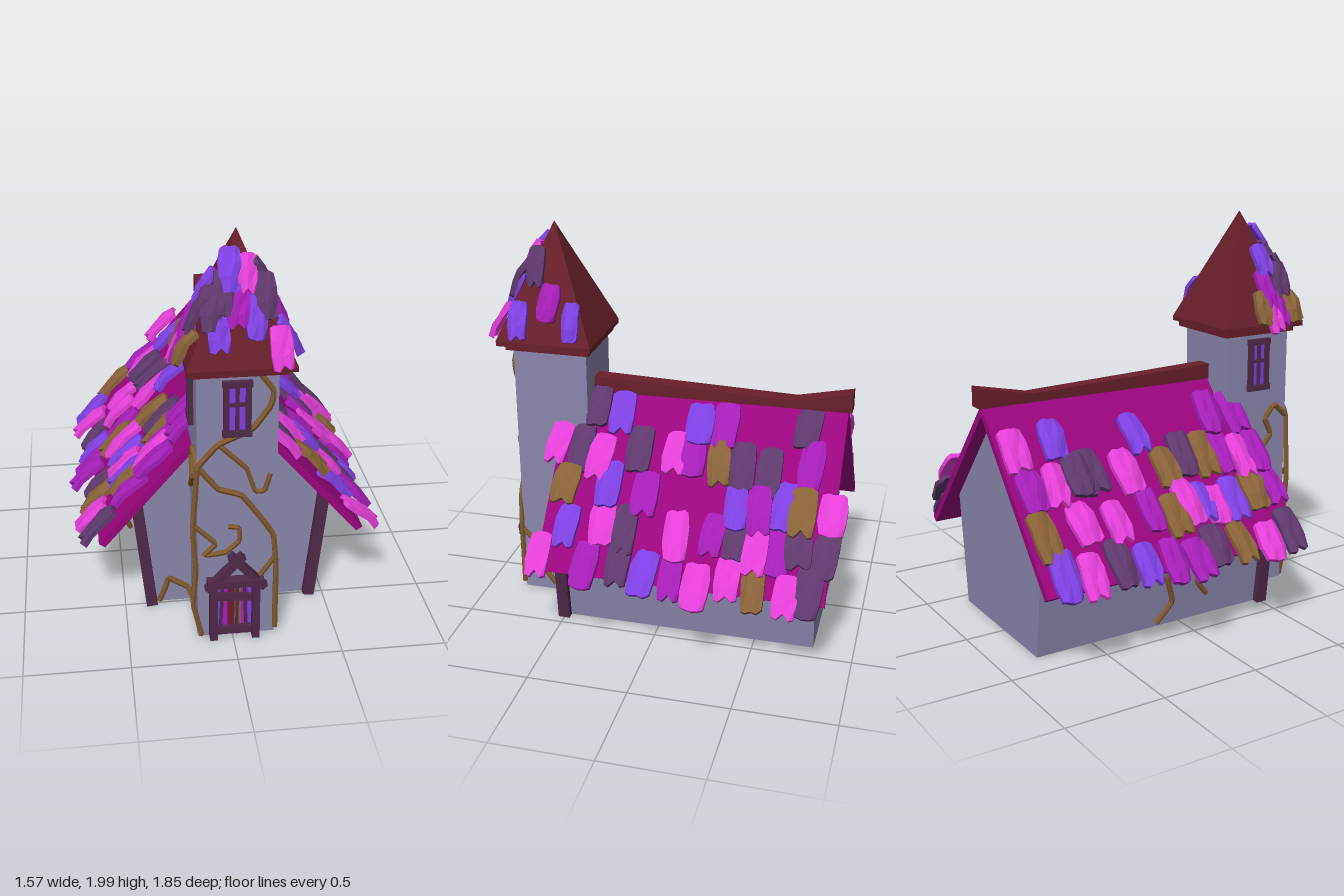
import * as THREE from 'three';

const paint = (name, color) => {
  const m = new THREE.MeshStandardMaterial({ color, flatShading: true });
  m.name = name;
  return m;
};

export function createModel() {
  const M = {
    wall: paint('stone wall', 0x8a87ab),
    roof: paint('magenta roof', 0x9a067e),
    red: paint('red wood', 0x681f2b),
    trim: paint('dark trim', 0x4f2a49),
    vine: paint('vine brown', 0x7f5a2e),
    V: paint('violet tile', 0x7e40e2),
    K: paint('pink tile', 0xe43fd8),
    P: paint('purple tile', 0xa61eb8),
    D: paint('plum tile', 0x5e396c),
    B: paint('ochre tile', 0x886238),
  };
  const root = new THREE.Group();
  root.name = 'chapel';
  const CX = 0.03, TZ = 0.61; // centre line and tower centre

  const add = (name, geo, mat, x = 0, y = 0, z = 0, parent = root) => {
    const m = new THREE.Mesh(geo, mat);
    m.name = name;
    m.position.set(x, y, z);
    parent.add(m);
    return m;
  };
  const box = (name, w, h, d, mat, x, y, z, parent) =>
    add(name, new THREE.BoxGeometry(w, h, d), mat, x, y, z, parent);
  // outline in x/y, extruded from z0 to z1
  const prism = (name, pts, z0, z1, mat) => {
    const s = new THREE.Shape(pts.map(p => new THREE.Vector2(...p)));
    return add(name, new THREE.ExtrudeGeometry(s, { depth: z1 - z0, bevelEnabled: false }), mat, 0, 0, z0);
  };
  // straight beam between two points in x/y
  const beam = (name, a, b, w, d, mat, z, parent) => {
    const dx = b[0] - a[0], dy = b[1] - a[1];
    const m = box(name, w, Math.hypot(dx, dy), d, mat, (a[0] + b[0]) / 2, (a[1] + b[1]) / 2, z, parent);
    m.rotation.z = Math.atan2(-dx, dy);
    return m;
  };

  // Hall with leaning side walls
  prism('hallWalls', [[CX - 0.39, 0.01], [CX + 0.39, 0.01], [CX + 0.46, 0.59], [CX, 1.125], [CX - 0.46, 0.59]], -0.8, 0.49, M.wall);
  for (const s of [-1, 1]) beam('cornerPost', [CX + s * 0.397, 0.01], [CX + s * 0.46, 0.6], 0.055, 0.06, M.trim, 0.5);

  // Roof boards and ridge beam
  const RUN = 0.65, TOP = 1.16, SLOPE = 1.15;
  for (const s of [-1, 1]) {
    const e = TOP - RUN * SLOPE;
    const pts = [[CX, TOP], [CX + s * RUN, e], [CX + s * (RUN - 0.03), e - 0.02], [CX, TOP - 0.055]];
    prism('roofBoard', pts, -0.87, 0.56, M.roof);
  }
  const ridge = prism('ridgeBeam', [[-0.42, 1.14], [-0.42, 1.22], [0.61, 1.19], [0.89, 1.25], [0.89, 1.15]], -0.04, 0.04, M.red);
  ridge.rotation.y = Math.PI / 2;
  ridge.position.set(CX - 0.03, 0, 0);

  // Tower and pyramid roof
  box('towerWalls', 0.37, 1.4, 0.38, M.wall, 0.018, 0.71, TZ);
  box('towerTrim', 0.43, 0.03, 0.43, M.red, CX, 1.4, TZ);
  box('towerEave', 0.49, 0.025, 0.485, M.red, CX, 1.425, TZ + 0.01);
  add('towerRoof', new THREE.ConeGeometry(0.245 * Math.SQRT2, 0.565, 4, 1, false, Math.PI / 4), M.red, CX, 1.7175, TZ + 0.01);

  // Chipped, puffed roof tiles in unit size: x width, y length, z thickness
  const rnd = (n) => { const v = Math.sin(n * 127.1 + 3.7) * 43758.5453; return v - Math.floor(v) - 0.5; };
  const tileGeos = [1, 2, 3, 4].map(seed => {
    const g = new THREE.BoxGeometry(1, 1, 1, 4, 3, 1).toNonIndexed(), p = g.attributes.position;
    for (let i = 0; i < p.count; i++) {
      const x = p.getX(i), y = p.getY(i), z = p.getZ(i);
      const k = seed * 17 + Math.round(x * 4) * 5 + Math.round(y * 6) * 11;
      const end = Math.abs(y) > 0.4, corner = end && Math.abs(x) > 0.4;
      const notch = y < -0.4 && seed % 2 && Math.abs(x) < 0.1 ? 0.12 : 0;
      p.setXYZ(i,
        x * (corner ? 0.86 : 1) + rnd(k) * 0.05,
        y * (corner ? 0.9 : 1) + notch + rnd(k + 1) * 0.05,
        z - x * x * 2 - (end ? 0.4 : 0) + rnd(k + 2) * 0.6);
    }
    g.computeVertexNormals();
    return g;
  });
  let count = 0;
  const tile = (parent, pos, up, normal, w, len, key) => {
    count++;
    const m = add('roofTile', tileGeos[count % 4], M[key], 0, 0, 0, parent);
    const side = new THREE.Vector3().crossVectors(up, normal);
    m.quaternion.setFromRotationMatrix(new THREE.Matrix4().makeBasis(side, up, normal));
    m.rotateZ(rnd(count) * 0.2);
    m.rotateX(-0.08 + rnd(count + 50) * 0.12);
    m.scale.set(w * (1 + rnd(count + 9) * 0.2), len * (1 + rnd(count + 5) * 0.2), 0.024);
    m.position.copy(pos);
  };

  // Hall tiles: [side, height, colours, positions along z]
  const rows = [
    [1, 1.08, 'DVVPD', [0.37, 0.25, -0.16, -0.28, -0.69]],
    [1, 0.92, 'KDKDKPBDDP', [0.55, 0.43, 0.32, 0.13, -0.06, -0.14, -0.28, -0.4, -0.53, -0.73]],
    [1, 0.78, 'BVPVPVBK', [0.47, 0.25, 0.06, -0.4, -0.51, -0.63, -0.72, -0.86]],
    [1, 0.63, 'VKDKPDKPDD', [0.43, 0.25, 0.13, -0.13, -0.3, -0.42, -0.52, -0.62, -0.72, -0.85]],
    [1, 0.48, 'KPDVPKKBKD', [0.54, 0.3, 0.14, 0.01, -0.13, -0.26, -0.4, -0.53, -0.69, -0.79]],
    [-1, 1.0, 'KVVPP', [-0.81, -0.6, -0.16, 0.3, 0.44]],
    [-1, 0.84, 'PKDDKBDBPKP', [-0.78, -0.66, -0.54, -0.45, -0.27, -0.05, 0.08, 0.2, 0.3, 0.38, 0.48]],
    [-1, 0.66, 'BKKPBKVKVBP', [-0.8, -0.58, -0.42, -0.22, -0.11, -0.02, 0.07, 0.15, 0.26, 0.38, 0.49]],
    [-1, 0.48, 'VKDVPPDBKD', [-0.77, -0.64, -0.47, -0.34, -0.2, -0.08, 0.06, 0.2, 0.35, 0.49]],
  ];
  const hallTiles = new THREE.Group();
  hallTiles.name = 'hallTiles';
  root.add(hallTiles);
  for (const [s, y, keys, zs] of rows) {
    const up = new THREE.Vector3(-s, SLOPE, 0).normalize();
    const normal = new THREE.Vector3(s * SLOPE, 1, 0).normalize();
    zs.forEach((z, i) => {
      const yy = y + rnd(i * 3 + y * 10) * 0.05;
      const lift = 0.07 + rnd(i * 7 + y * 20) * 0.05; // tiles stand off the boards
      tile(hallTiles, new THREE.Vector3(CX + s * ((TOP - yy) / SLOPE + lift), yy, z), up, normal, 0.125, 0.235, keys[i]);
    });
  }

  // Tower tiles: [outward x, outward z, lift, list of [sideways offset, height, colour]]
  const towerTiles = new THREE.Group();
  towerTiles.name = 'towerTiles';
  root.add(towerTiles);
  const faces = [
    [0, 1, 0.045, [[-0.04, 1.85, 'V'], [0.035, 1.83, 'K'], [-0.065, 1.76, 'D'], [-0.01, 1.7, 'P'], [0.11, 1.74, 'D'],
      [-0.1, 1.6, 'V'], [0.07, 1.66, 'V'], [0.17, 1.53, 'K'], [-0.13, 1.7, 'D']]],
    [1, 0, 0.04, [[0.06, 1.8, 'D'], [-0.02, 1.64, 'P'], [0.13, 1.55, 'V'], [-0.14, 1.56, 'V']]],
    [-1, 0, 0.055, [[0.04, 1.76, 'V'], [0.03, 1.62, 'P'], [0.12, 1.66, 'D'], [0.16, 1.53, 'B'], [0.08, 1.52, 'P'], [-0.01, 1.53, 'B'], [0.04, 1.5, 'K']]],
  ];
  for (const [dx, dz, lift, list] of faces) for (const [t, y, key] of list) {
    const r = 0.245 * (2 - y) / 0.565 + lift;
    const [ax, az] = dx ? [0, t] : [t, 0];
    tile(towerTiles, new THREE.Vector3(CX + dx * r + ax, y, TZ + 0.01 + dz * r + az),
      new THREE.Vector3(-dx * 0.245, 0.565, -dz * 0.245).normalize(),
      new THREE.Vector3(dx * 0.565, 0.245, dz * 0.565).normalize(), 0.095, 0.195, key);
  }

  // Tower windows, one in front and one on the right wall
  const windowAt = (x, y, z, turn) => {
    const g = new THREE.Group();
    g.name = 'window';
    g.position.set(x, y, z);
    g.rotation.y = turn;
    root.add(g);
    box('windowPane', 0.1, 0.23, 0.008, M.V, 0, 0, 0.003, g);
    for (const s of [-1, 1]) {
      box('windowJamb', 0.026, 0.26, 0.025, M.trim, s * 0.05, 0, 0.008, g);
      box('windowRail', 0.135, 0.03, 0.03, M.trim, 0, s * 0.121, 0.009, g);
    }
    box('windowBar', 0.018, 0.24, 0.018, M.trim, 0, 0, 0.007, g);
    box('windowBar', 0.1, 0.018, 0.018, M.trim, 0, 0.02, 0.007, g);
  };
  windowAt(0.015, 1.225, 0.8, 0);
  windowAt(-0.167, 1.225, TZ, -Math.PI / 2);

  // Door of coloured planks under a small crossed gable
  const door = new THREE.Group();
  door.name = 'door';
  root.add(door);
  ['V', 'P', 'red', 'B', 'P', 'V'].forEach((k, i) =>
    box('doorPlank', 0.031, 0.3, 0.008, M[k], -0.072 + i * 0.032, 0.17, 0.805, door));
  for (const x of [-0.095, 0.108]) box('doorPost', 0.036, 0.33, 0.05, M.trim, x, 0.175, 0.825, door);
  [-0.055, 0.02, 0.06].forEach((x, i) => {
    box('doorBar', 0.015, 0.3, 0.014, M.trim, x, 0.17, 0.812, door).rotation.z = (i - 1) * 0.04;
  });
  box('doorLintel', 0.27, 0.035, 0.055, M.trim, 0.01, 0.325, 0.827, door);
  box('doorSill', 0.2, 0.04, 0.03, M.trim, 0.008, 0.05, 0.815, door);
  box('doorBrace', 0.18, 0.038, 0.025, M.trim, 0.008, 0.235, 0.814, door).rotation.z = -0.08;
  beam('doorGable', [-0.125, 0.29], [0.045, 0.47], 0.034, 0.045, M.trim, 0.828, door);
  beam('doorGable', [0.15, 0.29], [-0.015, 0.47], 0.034, 0.045, M.trim, 0.824, door);

  // Vines creeping over the walls
  const vine = (pts, r = 0.014) => {
    const c = new THREE.CatmullRomCurve3(pts.map(p => new THREE.Vector3(...p)), false, 'catmullrom', 0.08);
    add('vine', new THREE.TubeGeometry(c, pts.length * 5, r, 6), M.vine);
  };
  const front = (pts, r) => vine(pts.map(([x, y]) => [x, y, 0.808]), r);
  front([[0.11, 1.4], [0.18, 1.3], [0.165, 1.23], [0.085, 1.12], [-0.07, 1.05], [-0.165, 0.94], [-0.175, 0.8], [-0.19, 0.6], [-0.175, 0.4], [-0.19, 0.2], [-0.15, 0.02]]);
  front([[-0.165, 0.94], [-0.07, 0.82], [0.035, 0.785], [0.12, 0.67], [0.19, 0.56], [0.205, 0.39], [0.205, 0.04]]);
  front([[-0.07, 1.05], [0.02, 0.96], [0.06, 0.92], [0.1, 0.8], [0.145, 0.8], [0.17, 0.89]], 0.012);
  front([[-0.19, 0.64], [-0.08, 0.53], [-0.14, 0.47], [-0.035, 0.48], [0.03, 0.54], [0.03, 0.61], [-0.025, 0.62]], 0.012);
  front([[0.205, 0.45], [0.13, 0.34]], 0.012);
  vine([[0.205, 0.36, 0.8], [0.207, 0.27, 0.71], [0.207, 0.2, 0.66], [0.207, 0.15, 0.7], [0.207, 0.05, 0.63]]);
  vine([[-0.185, 0.22, 0.8], [-0.2, 0.2, 0.66], [-0.28, 0.15, 0.5], [-0.3, 0.09, 0.5], [-0.33, 0.02, 0.5]]);
  vine([[-0.17, 0.93, 0.8], [-0.177, 1.0, 0.72], [-0.177, 0.93, 0.66], [-0.177, 0.84, 0.7], [-0.177, 0.75, 0.62]]);
  vine([[-0.44, 0.52, 0.1], [-0.425, 0.38, 0.14], [-0.405, 0.22, 0.08], [-0.4, 0.14, 0.14]]);
  vine([[-0.44, 0.5, -0.05], [-0.41, 0.28, -0.1], [-0.395, 0.14, -0.06], [-0.37, 0.03, -0.14]]);
  vine([[-0.43, 0.56, 0.52], [-0.48, 0.5, 0.47], [-0.46, 0.43, 0.45]], 0.012);
  return root;
}
